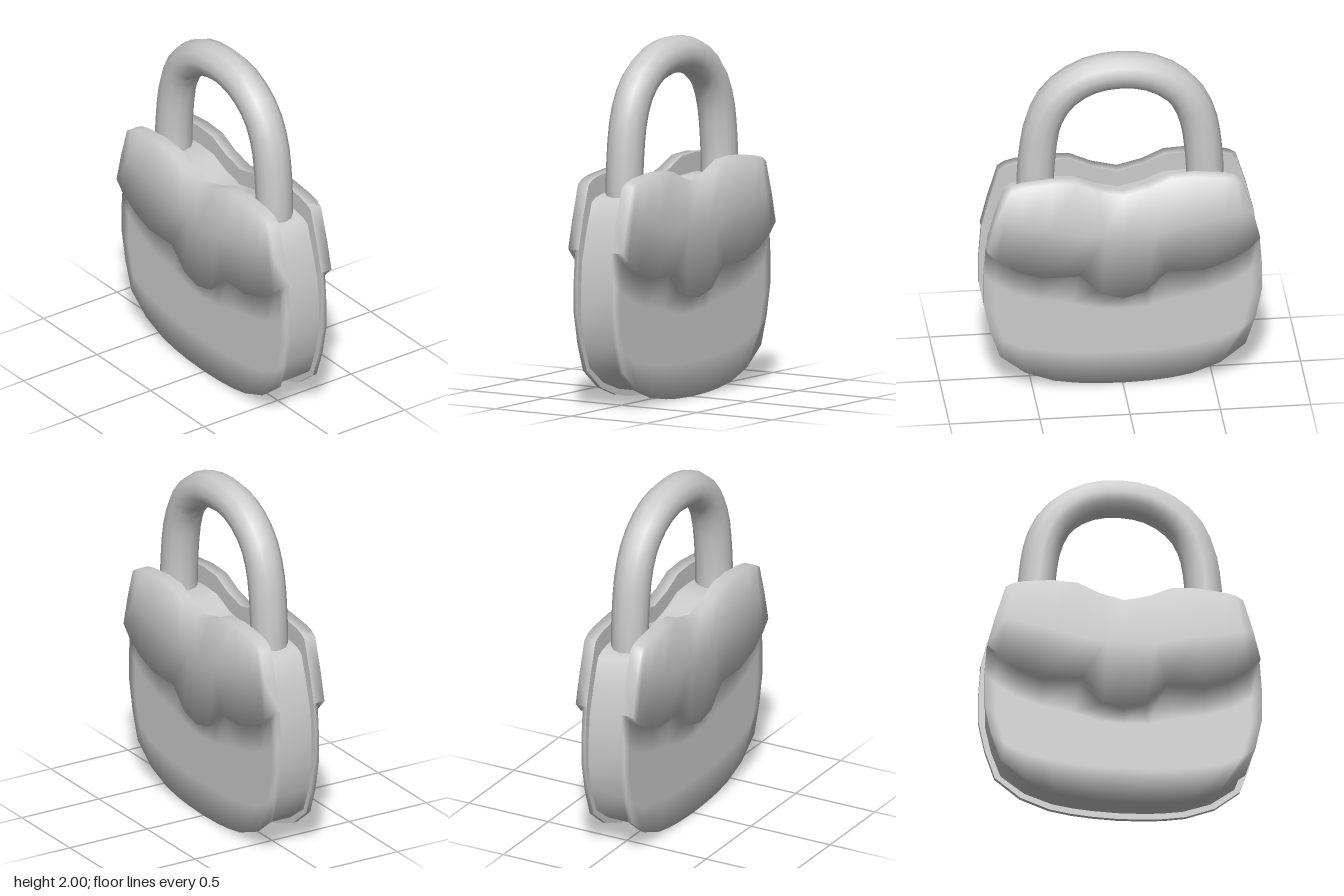
import * as THREE from 'three';
import { toCreasedNormals } from 'three/addons/utils/BufferGeometryUtils.js';

const CORE_Z = 0.11, PLATE_Z = 0.135, FLAP_Z = 0.18;

// Right half of each cross row of the shell, from the centre line to the rim
const TOP = [[0, 1.2], [0.14, 1.235], [0.26, 1.29], [0.4, 1.297], [0.56, 1.28], [0.62, 1.265], [0.66, 1.24]];
const FLAP_MID = [[0, 0.95], [0.1, 0.95], [0.18, 0.95], [0.4, 1], [0.56, 1.03], [0.66, 1.05], [0.715, 1.06]];
const FLAP_EDGE = [[0, 0.56], [0.12, 0.59], [0.24, 0.71], [0.45, 0.71], [0.59, 0.76], [0.7, 0.83], [0.757, 0.89]];
const PLATE_TOP = [[0, 0.47], [0.14, 0.48], [0.28, 0.52], [0.46, 0.55], [0.6, 0.6], [0.71, 0.67], [0.77, 0.72]];
const PLATE_MID = [[0, 0.37], [0.14, 0.37], [0.28, 0.38], [0.46, 0.4], [0.6, 0.43], [0.71, 0.49], [0.77, 0.54]];
const PLATE_LOW = [[0, 0.2], [0.15, 0.2], [0.28, 0.21], [0.42, 0.23], [0.56, 0.26], [0.66, 0.31], [0.735, 0.37]];
const BOTTOM = [[0, 0.005], [0.15, 0.01], [0.26, 0.02], [0.38, 0.04], [0.46, 0.07], [0.54, 0.1], [0.68, 0.21]];

const ROWS = [
  [TOP, FLAP_Z], [FLAP_MID, FLAP_Z], [FLAP_EDGE, FLAP_Z], [FLAP_EDGE, PLATE_Z],
  [PLATE_TOP, PLATE_Z], [PLATE_MID, PLATE_Z], [PLATE_LOW, PLATE_Z], [BOTTOM, PLATE_Z],
];
const COLS = TOP.length * 2 - 1;

const mirrorRow = half => [...half.slice(1).reverse().map(([x, y]) => [-x, y]), ...half];

// Grid indices around the rim, counter-clockwise from the front
function rimLoop() {
  const last = ROWS.length - 1, loop = [];
  for (let r = 0; r < last; r++) loop.push(r * COLS);
  for (let c = 0; c < COLS - 1; c++) loop.push(last * COLS + c);
  for (let r = last; r > 0; r--) loop.push(r * COLS + COLS - 1);
  for (let c = COLS - 1; c > 0; c--) loop.push(c);
  return loop;
}

// Smooth normals in which every face counts equally, giving soft, padded edges
function softNormals(geometry, points, index) {
  const normals = points.map(() => new THREE.Vector3());
  const n = new THREE.Vector3();
  for (let i = 0; i < index.length; i += 3) {
    const tri = index.slice(i, i + 3);
    THREE.Triangle.getNormal(...tri.map(k => points[k]), n);
    tri.forEach(k => normals[k].add(n));
  }
  const flat = normals.flatMap(v => v.normalize().toArray());
  geometry.setAttribute('normal', new THREE.Float32BufferAttribute(flat, 3));
}

// One padded face: flap, step down to the lower plate, rim and inner side
function shellGeometry() {
  const points = ROWS.flatMap(([half, z]) => mirrorRow(half).map(([x, y]) => new THREE.Vector3(x, y, z)));
  const count = points.length, index = [];
  const flatten = p => new THREE.Vector3(p.x, p.y, CORE_Z);

  // inner side
  points.push(...points.map(flatten));
  for (let r = 0; r < ROWS.length - 1; r++) {
    for (let c = 0; c < COLS - 1; c++) {
      const a = r * COLS + c, b = a + 1, d = a + COLS, e = d + 1;
      index.push(a, d, b, d, e, b);
      index.push(count + a, count + b, count + d, count + d, count + b, count + e);
    }
  }
  // rim
  const loop = rimLoop(), start = points.length;
  points.push(...loop.map(i => flatten(points[i])));
  loop.forEach((p, i) => {
    const j = (i + 1) % loop.length, q = loop[j];
    index.push(p, start + i, q, q, start + i, start + j);
  });

  const geometry = new THREE.BufferGeometry().setFromPoints(points);
  geometry.setIndex(index);
  softNormals(geometry, points, index);
  return geometry;
}

// Core block: the rim outline, inset
function coreGeometry() {
  const grid = ROWS.flatMap(([half]) => mirrorRow(half));
  const outline = rimLoop()
    .map(i => new THREE.Vector2(grid[i][0] * 0.955, 0.04 + (grid[i][1] - 0.005) * 0.89))
    .filter((p, i, all) => i === 0 || p.distanceTo(all[i - 1]) > 0.001);
  const geometry = new THREE.ExtrudeGeometry(new THREE.Shape(outline), {
    depth: CORE_Z * 2, bevelEnabled: false,
  });
  geometry.translate(0, 0, -CORE_Z);
  return toCreasedNormals(geometry, 0.9);
}

// Shackle: a round bar bent into an arch
function shackleGeometry() {
  const half = [[0.19, 1.862], [0.345, 1.752], [0.425, 1.6], [0.464, 1.35], [0.47, 1.15], [0.47, 0.95]];
  const path = [
    ...half.slice().reverse().map(([x, y]) => new THREE.Vector3(-x, y, 0)),
    new THREE.Vector3(0, 1.896, 0),
    ...half.map(([x, y]) => new THREE.Vector3(x, y, 0)),
  ];
  return new THREE.TubeGeometry(new THREE.CatmullRomCurve3(path), 28, 0.104, 12, false);
}

export function createModel() {
  const group = new THREE.Group();
  const material = new THREE.MeshStandardMaterial({ color: 0xcccccc });
  const add = (name, geometry) => {
    const mesh = new THREE.Mesh(geometry, material);
    mesh.name = name;
    group.add(mesh);
    return mesh;
  };

  add('core', coreGeometry());
  add('shackle', shackleGeometry());
  const shell = shellGeometry();
  add('frontShell', shell);
  add('backShell', shell).rotation.y = Math.PI;
  return group;
}
